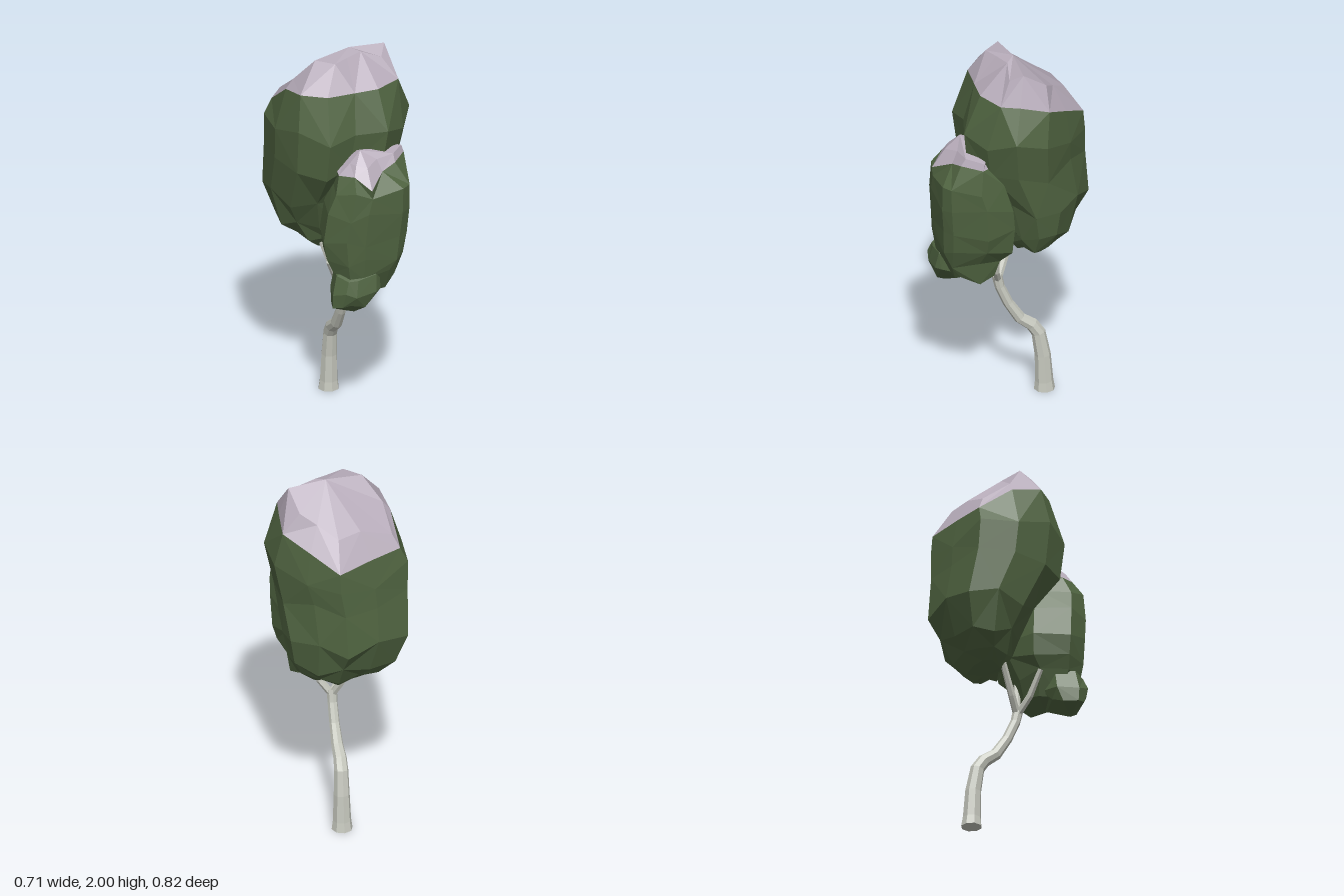
import * as THREE from 'three';

const leafGreen = new THREE.MeshStandardMaterial({ color: 0x4f6340 });
const snowLilac = new THREE.MeshStandardMaterial({ color: 0xb8adbb });
const barkGrey = new THREE.MeshStandardMaterial({ color: 0xc6c8be });

// Outlines seen from above as [x, z], counter-clockwise
const MAIN = [[-0.36, -0.05], [-0.3, 0.14], [-0.17, 0.26], [-0.02, 0.23], [0.15, 0.26], [0.27, 0.16], [0.355, 0.02],
  [0.34, -0.15], [0.2, -0.3], [0.045, -0.41], [-0.15, -0.35], [-0.345, -0.255]];
const SMALL = [[-0.21, 0.3], [-0.12, 0.4], [-0.02, 0.41], [0.18, 0.39], [0.235, 0.35], [0.29, 0.18],
  [0.255, 0.04], [-0.02, 0.02], [-0.16, 0.12]];

// Faceted skin over rings of points, closed by optional apex points
function loft(name, material, rings, bottom, top) {
  const out = [];
  const tri = (...pts) => pts.forEach((p) => out.push(...p));
  const n = rings[0].length;
  for (let r = 0; r < rings.length - 1; r++) {
    for (let i = 0; i < n; i++) {
      const j = (i + 1) % n;
      const a = rings[r][i], b = rings[r][j], c = rings[r + 1][j], d = rings[r + 1][i];
      if ((i + r) % 2) { tri(a, b, c); tri(a, c, d); } else { tri(a, b, d); tri(b, c, d); }
    }
  }
  const last = rings[rings.length - 1];
  for (let i = 0; i < n; i++) {
    const j = (i + 1) % n;
    if (bottom) tri(rings[0][j], rings[0][i], bottom);
    if (top) tri(last[i], last[j], top);
  }
  const geo = new THREE.BufferGeometry();
  geo.setAttribute('position', new THREE.Float32BufferAttribute(out, 3));
  geo.computeVertexNormals();
  const mesh = new THREE.Mesh(geo, material);
  mesh.name = name;
  return mesh;
}

// Fit an outline into the box x0..x1, z0..z1 at height y, with a slightly uneven height
function fit(outline, [y, x0, x1, z0, z1], wobble) {
  const xs = outline.map((p) => p[0]), zs = outline.map((p) => p[1]);
  const ax = Math.min(...xs), bx = Math.max(...xs), az = Math.min(...zs), bz = Math.max(...zs);
  return outline.map(([x, z], i) => [
    x0 + (x1 - x0) * (x - ax) / (bx - ax),
    y + wobble * Math.sin(i * 2.4 + y * 23),
    z0 + (z1 - z0) * (z - az) / (bz - az),
  ]);
}

// Tapered limb through stations [x, y, z, radius]
function limb(name, stations, sides) {
  const pts = stations.map((s) => new THREE.Vector3(s[0], s[1], s[2]));
  const up = new THREE.Vector3(0, 1, 0);
  const rings = stations.map((s, k) => {
    const dir = pts[Math.min(k + 1, pts.length - 1)].clone().sub(pts[Math.max(k - 1, 0)]).normalize();
    if (k === 0 && s[1] === 0) dir.copy(up);
    const q = new THREE.Quaternion().setFromUnitVectors(up, dir);
    return Array.from({ length: sides }, (_, i) => {
      const a = (i / sides) * Math.PI * 2;
      return new THREE.Vector3(Math.cos(a) * s[3], 0, -Math.sin(a) * s[3]).applyQuaternion(q).add(pts[k]).toArray();
    });
  });
  return loft(name, barkGrey, rings, pts[0].toArray(), pts[pts.length - 1].toArray());
}

export function createModel() {
  const tree = new THREE.Group();
  tree.name = 'tree';

  // Bent trunk and three forked branches
  tree.add(limb('trunk', [
    [-0.005, 0, -0.183, 0.055], [-0.005, 0.05, -0.181, 0.048], [-0.005, 0.2, -0.174, 0.042],
    [-0.008, 0.33, -0.152, 0.037], [-0.01, 0.38, -0.118, 0.035], [-0.01, 0.425, -0.055, 0.031],
    [-0.01, 0.52, 0.006, 0.027], [-0.01, 0.62, 0.05, 0.026], [-0.01, 0.69, 0.065, 0.028],
  ], 8));
  const branches = [
    [[-0.05, 0.75, 0.02, 0.019], [-0.1, 0.92, -0.045, 0.016]],
    [[0.05, 0.74, 0.08, 0.018], [0.09, 0.9, 0.085, 0.014]],
    [[-0.07, 0.75, 0.11, 0.018], [-0.13, 0.88, 0.15, 0.014]],
  ];
  branches.forEach((b, i) => tree.add(limb(`branch${i + 1}`, [[-0.01, 0.66, 0.06, 0.02], ...b], 6)));

  // Tall main crown; its snow rim dips at the back
  const rim = [[-0.29, 1.8, -0.05], [-0.27, 1.83, 0.11], [-0.15, 1.83, 0.19], [0, 1.83, 0.185], [0.13, 1.83, 0.18],
    [0.27, 1.83, 0.1], [0.285, 1.82, 0], [0.3, 1.79, -0.15], [0.18, 1.72, -0.26], [0.05, 1.64, -0.375],
    [-0.13, 1.66, -0.3], [-0.3, 1.67, -0.23]];
  const mainRings = [
    [0.885, -0.13, 0.13, -0.2, -0.03], [0.935, -0.2, 0.21, -0.27, 0.01], [1.02, -0.28, 0.26, -0.34, 0.03],
    [1.18, -0.34, 0.285, -0.41, 0.1], [1.4, -0.35, 0.31, -0.39, 0.24],
  ].map((b, i) => fit(MAIN, b, i < 2 ? 0.015 : 0.03));
  // Widest ring follows the dip of the rim
  const shoulder = fit(MAIN, [1.61, -0.355, 0.355, -0.385, 0.268], 0.03);
  shoulder.forEach((p) => { if (p[2] < -0.15) p[1] += (p[2] + 0.15) * 0.45; });
  tree.add(loft('mainCrown', leafGreen, [...mainRings, shoulder, rim], [0, 0.865, -0.12], null));
  const snowTop = [[-0.25, 1.85, -0.05], [-0.16, 1.975, 0.03], [-0.08, 1.975, 0.11], [0, 1.98, 0.07],
    [0.09, 1.985, 0.03], [0.2, 1.94, 0.04], [0.24, 1.985, -0.025], [0.21, 1.9, -0.15], [0.13, 1.85, -0.2],
    [0.035, 1.79, -0.275], [-0.09, 1.8, -0.23], [-0.265, 1.74, -0.2]];
  tree.add(loft('mainCrownSnow', snowLilac, [rim, snowTop], null, [0.04, 2, -0.01]));

  // Smaller front crown with its snow cap, merging into the main crown
  const smallRim = [[-0.12, 1.42, 0.27], [-0.06, 1.43, 0.34], [0.01, 1.37, 0.408], [0.1, 1.43, 0.32],
    [0.18, 1.455, 0.29], [0.265, 1.46, 0.19], [0.2, 1.45, 0.12], [-0.05, 1.45, 0.1], [-0.11, 1.44, 0.18]];
  const smallRings = [
    [0.77, -0.1, 0.18, 0.1, 0.32], [0.87, -0.16, 0.2, 0.07, 0.38], [0.96, -0.19, 0.255, 0.01, 0.395],
    [1.07, -0.21, 0.28, 0, 0.4], [1.22, -0.19, 0.29, 0.01, 0.41], [1.34, -0.15, 0.285, 0.06, 0.405],
  ].map((b) => fit(SMALL, b, 0.02));
  tree.add(loft('frontCrown', leafGreen, [...smallRings, smallRim], [0.03, 0.725, 0.22], null));
  const smallTop = [[-0.06, 1.48, 0.27], [-0.04, 1.48, 0.31], [0.01, 1.47, 0.34], [0.08, 1.49, 0.29],
    [0.18, 1.495, 0.265], [0.255, 1.495, 0.18], [0.18, 1.5, 0.15], [-0.02, 1.5, 0.15], [-0.06, 1.48, 0.2]];
  tree.add(loft('frontCrownSnow', snowLilac, [smallRim, smallTop], null, [0, 1.54, 0.26]));

  // Low leaf clump hanging at the front
  const clump = [
    [0.72, -0.18, 0.03, 0.22, 0.385], [0.79, -0.18, 0.1, 0.17, 0.41], [0.87, -0.155, 0.1, 0.17, 0.39],
  ].map((b) => fit(SMALL, b, 0.015));
  tree.add(loft('lowLeafClump', leafGreen, clump, [-0.06, 0.667, 0.33], [0, 0.92, 0.31]));
  return tree;
}
